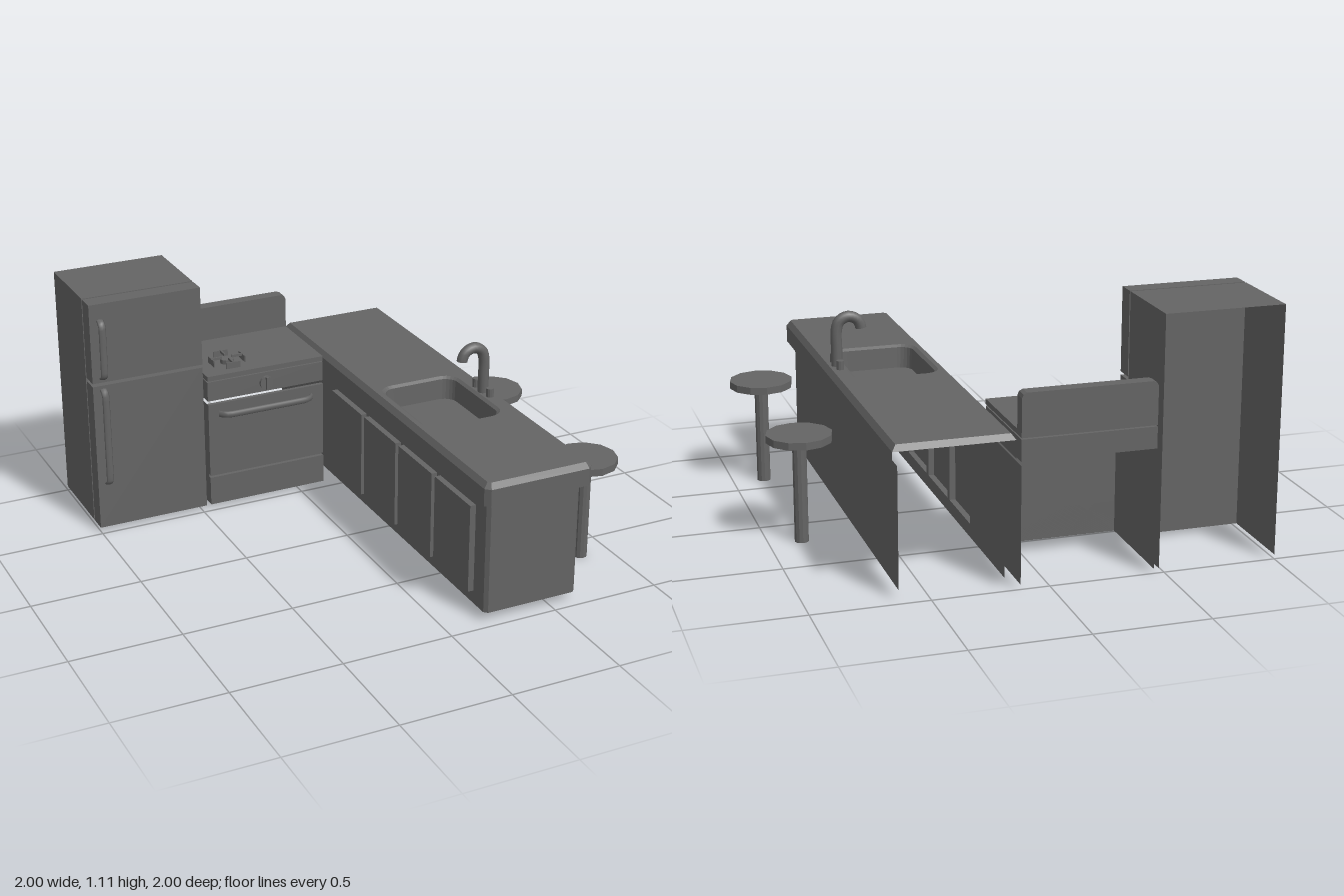
import * as THREE from 'three';

const mat = new THREE.MeshStandardMaterial({ color: 0x646464, flatShading: true, side: THREE.DoubleSide });
const smooth = new THREE.MeshStandardMaterial({ color: 0x646464, side: THREE.DoubleSide });

function add(parent, name, geometry, material = mat) {
  const mesh = new THREE.Mesh(geometry, material);
  mesh.name = name;
  parent.add(mesh);
  return mesh;
}

function group(parent, name) {
  const g = new THREE.Group();
  g.name = name;
  parent.add(g);
  return g;
}

const points = list => list.map(([x, y]) => new THREE.Vector2(x, y));

// Box given by its limits; omit lists open sides (0 +x, 1 -x, 2 +y, 3 -y, 4 +z, 5 -z)
function shell(x0, x1, y0, y1, z0, z1, omit = []) {
  const g = new THREE.BoxGeometry(x1 - x0, y1 - y0, z1 - z0);
  g.translate((x0 + x1) / 2, (y0 + y1) / 2, (z0 + z1) / 2);
  g.setIndex(Array.from(g.index.array).filter((_, i) => !omit.includes(Math.floor(i / 6))));
  g.clearGroups();
  return g;
}

// Rectangle in x and z with its two front corners cut; side 3 is -x, side 4 is the back
function cutLoop(x0, x1, z0, z1, c) {
  return points([[x1, z1 - c], [x1 - c, z1], [x0 + c, z1], [x0, z1 - c], [x0, z0], [x1, z0]]);
}

// Rectangle in x and z with rounded corners
function roundLoop(x0, x1, z0, z1, r) {
  const n = 6, pts = [];
  const corners = [[x1 - r, z1 - r], [x0 + r, z1 - r], [x0 + r, z0 + r], [x1 - r, z0 + r]];
  corners.forEach(([cx, cz], k) => {
    for (let i = 0; i <= n; i++) {
      const a = (k + i / n) * Math.PI / 2;
      pts.push([cx + r * Math.cos(a), cz + r * Math.sin(a)]);
    }
  });
  return points(pts);
}

// Skin between loops at given heights, leaving out some sides
function loft(rings, skip = []) {
  const pos = [];
  for (let k = 0; k < rings.length - 1; k++) {
    const [a, ya] = rings[k], [b, yb] = rings[k + 1];
    for (let i = 0; i < a.length; i++) {
      if (skip.includes(i)) continue;
      const j = (i + 1) % a.length;
      const p = [a[i].x, ya, a[i].y], q = [b[i].x, yb, b[i].y];
      const r = [b[j].x, yb, b[j].y], s = [a[j].x, ya, a[j].y];
      pos.push(...p, ...q, ...r, ...p, ...r, ...s);
    }
  }
  const g = new THREE.BufferGeometry();
  g.setAttribute('position', new THREE.Float32BufferAttribute(pos, 3));
  g.computeVertexNormals();
  return g;
}

// Flat upward face bounded by a loop, with an optional hole
function flat(outline, y, hole) {
  const flip = pts => pts.map(p => new THREE.Vector2(p.x, -p.y));
  const shape = new THREE.Shape(flip(outline));
  if (hole) shape.holes.push(new THREE.Path(flip(hole)));
  return new THREE.ShapeGeometry(shape).rotateX(-Math.PI / 2).translate(0, y, 0);
}

function cylinder(r, x, y0, y1, z, sides = 12) {
  return new THREE.CylinderGeometry(r, r, y1 - y0, sides).translate(x, (y0 + y1) / 2, z);
}

// Bar handle along y from 0 to length, its ends ramping out to +z
function handle(length, radius, depth, ramp) {
  const pts = [[0, 0], [ramp * 0.3, depth * 0.65], [ramp, depth], [length / 2, depth],
    [length - ramp, depth], [length - ramp * 0.3, depth * 0.65], [length, 0]];
  const curve = new THREE.CatmullRomCurve3(pts.map(([y, z]) => new THREE.Vector3(0, y, z)), false, 'catmullrom', 0.3);
  return new THREE.TubeGeometry(curve, 24, radius, 8).scale(2.1, 1, 1);
}

function buildFridge(root) {
  const g = group(root, 'fridge');
  const x0 = -1, x1 = -0.477;
  add(g, 'fridgeBody', shell(x0, x1, 0.02, 1.107, -1, -0.615, [3, 5]));
  add(g, 'fridgeDoor', shell(x0, x1, 0.02, 0.72, -0.605, -0.522, [3]));
  add(g, 'freezerDoor', shell(x0, x1, 0.735, 1.107, -0.605, -0.522));
  add(g, 'fridgeHandle', handle(0.46, 0.008, 0.03, 0.03).translate(-0.952, 0.24, -0.522), smooth);
  add(g, 'freezerHandle', handle(0.275, 0.008, 0.03, 0.03).translate(-0.952, 0.755, -0.522), smooth);
}

function buildStove(root) {
  const g = group(root, 'stove');
  const x0 = -0.455, x1 = 0.125, cx = -0.165;
  add(g, 'ovenBody', shell(x0, x1, 0.02, 0.528, -1, -0.54, [2, 3, 5]));
  add(g, 'ovenDrawer', shell(x0, x1, 0.02, 0.158, -0.54, -0.522, [3]));
  add(g, 'ovenDoor', shell(x0, x1, 0.172, 0.528, -0.54, -0.522));
  add(g, 'controlPanel', shell(x0, x1, 0.545, 0.639, -1, -0.525));
  add(g, 'cooktop', shell(x0, x1, 0.645, 0.668, -1, -0.522));
  // Oven handle lies along x
  add(g, 'ovenHandle', handle(0.465, 0.0075, 0.028, 0.055).rotateZ(-Math.PI / 2).translate(-0.4, 0.475, -0.522), smooth);
  add(g, 'knob', new THREE.CylinderGeometry(0.032, 0.032, 0.014, 16).rotateX(Math.PI / 2).translate(cx, 0.59, -0.518));
  add(g, 'knobGrip', shell(cx - 0.006, cx + 0.006, 0.56, 0.62, -0.512, -0.497));

  // Back guard with cut upper corners
  const c = 0.022, y0 = 0.668, y1 = 0.832;
  const guard = new THREE.Shape(points([[x0, y0], [x1, y0], [x1, y1 - c], [x1 - 0.007, y1 - 0.007], [x1 - c, y1],
    [x0 + c, y1], [x0 + 0.007, y1 - 0.007], [x0, y1 - c]]));
  add(g, 'backGuard', new THREE.ExtrudeGeometry(guard, { depth: 0.057, bevelEnabled: false }).translate(0, 0, -1));

  // Burner with a four-armed grate
  const burner = group(g, 'burner');
  burner.position.set(-0.305, 0.668, -0.65);
  add(burner, 'burnerCap', cylinder(0.033, 0, 0, 0.02, 0));
  for (let i = 0; i < 4; i++) {
    const arm = group(burner, 'grateArm');
    arm.rotation.y = i * Math.PI / 2;
    add(arm, 'grateBar', shell(0.025, 0.08, 0.02, 0.032, -0.004, 0.004));
    add(arm, 'grateFoot', shell(0.074, 0.08, 0, 0.03, -0.035, 0.035));
  }
}

function buildCounter(root) {
  const g = group(root, 'counter');
  const x0 = 0.18, x1 = 0.624, y0 = 0.04, y1 = 0.565, z0 = -0.957, z1 = 0.957, cut = 0.015;
  const body = cutLoop(x0, x1, z0, z1, cut);
  add(g, 'cabinetPanels', loft([[body, y0], [body, y1]], [3, 4]));

  // Cabinet front with hollow raised doors
  const wall = new THREE.Shape(points([[z0, y0], [z1 - cut, y0], [z1 - cut, y1], [z0, y1]]));
  for (let i = 0; i < 4; i++) {
    const a = -0.48 + i * 0.341, b = a + 0.312;
    wall.holes.push(new THREE.Path(points([[a, 0.1], [a, 0.505], [b, 0.505], [b, 0.1]])));
    add(g, 'cabinetDoor', shell(0.153, x0, 0.1, 0.505, a, b, [0]));
  }
  add(g, 'cabinetFront', new THREE.ShapeGeometry(wall).rotateY(-Math.PI / 2).translate(x0, 0, 0));

  // Worktop: skirt open at the back, sloped upper edge, hole over the sink
  const outer = cutLoop(0.146, 0.655, -1, 1, 0.022);
  const top = cutLoop(0.164, 0.637, -0.982, 0.982, 0.012);
  add(g, 'worktopSkirt', loft([[outer, 0.562], [outer, 0.64]], [4]));
  add(g, 'worktopEdge', loft([[outer, 0.64], [top, 0.665]]));
  const basin = (d, r) => roundLoop(0.187 + d, 0.574 - d, -0.08 + d, 0.41 - d, r);
  add(g, 'worktop', flat(top, 0.665, basin(0, 0.07)));

  // Sink
  add(g, 'sinkWall', loft([[basin(0, 0.07), 0.665], [basin(0.014, 0.06), 0.655], [basin(0.019, 0.06), 0.56]]));
  add(g, 'sinkFloor', flat(basin(0.019, 0.06), 0.56));

  // Tap with its spout turned straight down, and two handles
  const z = 0.155;
  const path = new THREE.CatmullRomCurve3([[0.601, 0.66], [0.601, 0.74], [0.601, 0.825], [0.587, 0.866],
    [0.547, 0.885], [0.508, 0.87], [0.492, 0.843], [0.49, 0.831]].map(([x, y]) => new THREE.Vector3(x, y, z)));
  add(g, 'tap', new THREE.TubeGeometry(path, 24, 0.025, 10), smooth);
  add(g, 'tapEnd', new THREE.CircleGeometry(0.025, 10).rotateX(Math.PI / 2).translate(0.49, 0.832, z));
  for (const s of [-1, 1]) add(g, 'tapHandle', cylinder(0.017, 0.601, 0.665, 0.705, z + s * 0.063));
}

function buildStool(root, z) {
  const g = group(root, 'stool');
  add(g, 'seat', cylinder(0.144, 0.856, 0.457, 0.49, z));
  add(g, 'stoolPost', cylinder(0.031, 0.856, 0, 0.457, z));
}

export function createModel() {
  const root = new THREE.Group();
  root.name = 'kitchen';
  buildFridge(root);
  buildStove(root);
  buildCounter(root);
  for (const z of [-0.207, 0.623]) buildStool(root, z);
  return root;
}
